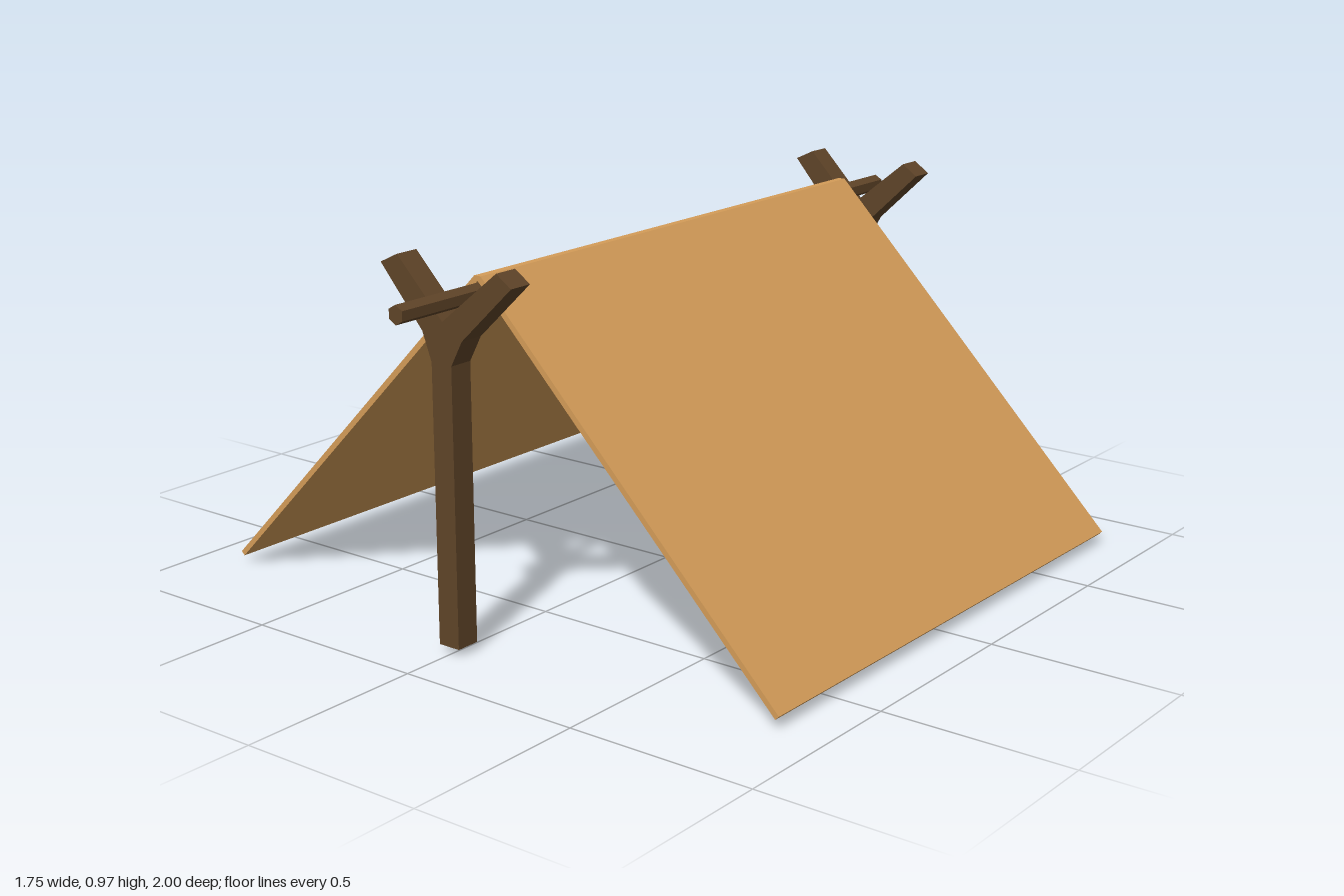
import * as THREE from 'three';

const wood = new THREE.MeshStandardMaterial({ color: 0x5f4428, flatShading: true });
const cloth = new THREE.MeshStandardMaterial({ color: 0xd49c58, flatShading: true });

// Extrudes an outline in x/y from z0 to z1.
function slab(name, points, z0, z1, material) {
  const shape = new THREE.Shape(points.map(([x, y]) => new THREE.Vector2(x, y)));
  const geometry = new THREE.ExtrudeGeometry(shape, { depth: z1 - z0, bevelEnabled: false });
  geometry.translate(0, 0, z0);
  const mesh = new THREE.Mesh(geometry, material);
  mesh.name = name;
  return mesh;
}

// Forked post: square shaft that splits into two arms.
function forkedPost(name, bottom, z0, z1) {
  return slab(name, [
    [-0.031, bottom], [0.031, bottom], [0.031, 0.725], [0.066, 0.79],
    [0.22, 0.936], [0.176, 0.966], [0.006, 0.828], [-0.132, 0.97],
    [-0.186, 0.944], [-0.058, 0.797], [-0.031, 0.725],
  ], z0, z1, wood);
}

export function createModel() {
  const group = new THREE.Group();
  group.name = 'tent';

  // Posts at either end
  group.add(forkedPost('frontPost', 0.02, 0.79, 0.855));
  group.add(forkedPost('backPost', 0, -0.93, -0.865));

  // Ridge pole resting between the forks
  const pole = new THREE.Mesh(new THREE.CylinderGeometry(0.024, 0.024, 2, 6), wood);
  pole.geometry.rotateX(Math.PI / 2);
  pole.position.y = 0.872;
  pole.name = 'ridgePole';
  group.add(pole);

  // Thin folded cover with a narrow flat ridge
  group.add(slab('cover', [
    [-0.875, 0.032], [-0.865, 0.022], [0, 0.9], [0.865, 0.022],
    [0.875, 0.032], [0.01, 0.912], [-0.01, 0.912],
  ], -0.82, 0.725, cloth));

  return group;
}
